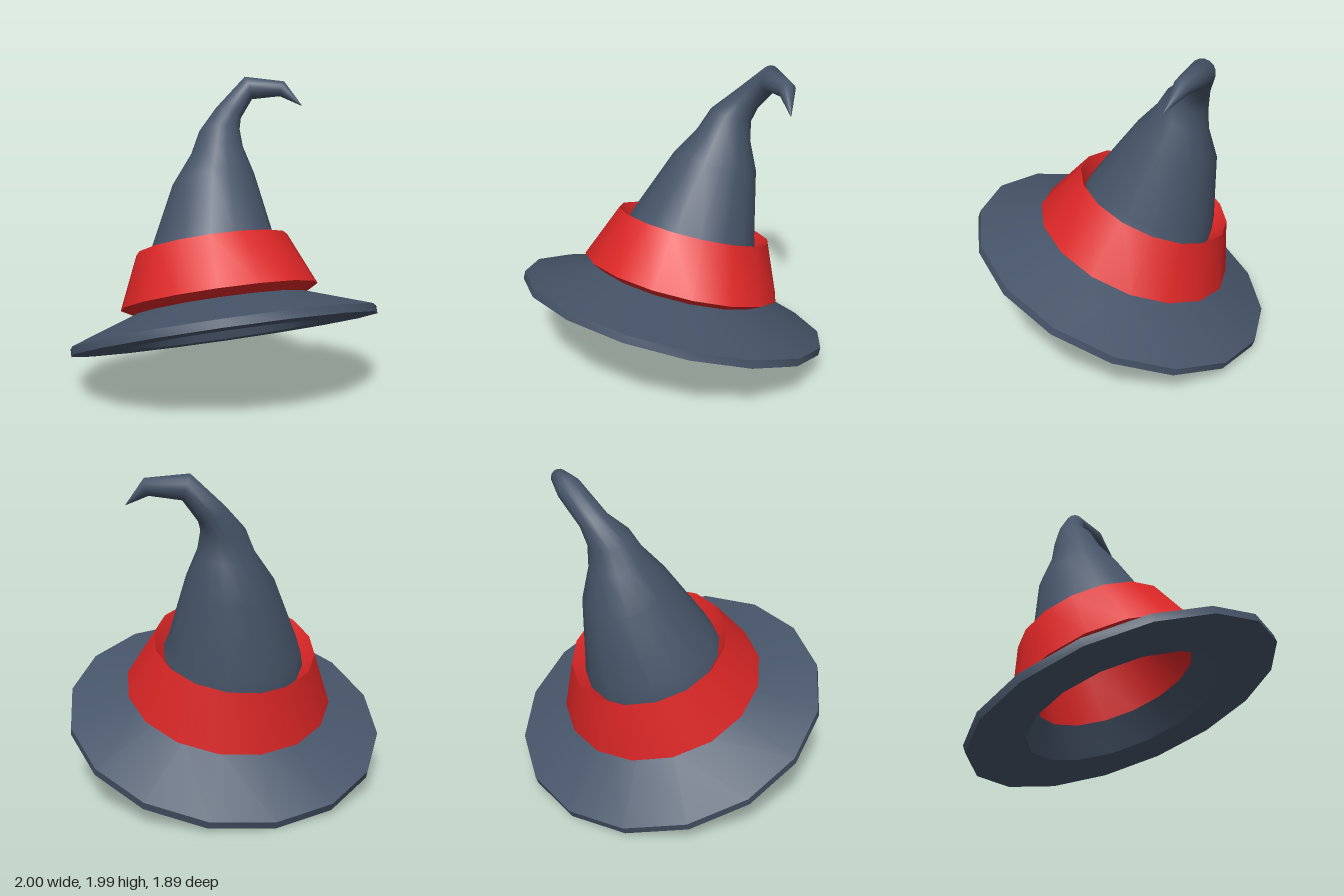
import * as THREE from 'three';
import { toCreasedNormals } from 'three/addons/utils/BufferGeometryUtils.js';

const SIDES = 16;
const TILT = 0.365; // the whole hat leans back

const slate = new THREE.MeshStandardMaterial({ color: 0x475569, side: THREE.DoubleSide });
slate.name = 'slate cloth';
const red = new THREE.MeshStandardMaterial({ color: 0xdc2626, side: THREE.DoubleSide });
red.name = 'red band';

// Ring of revolution from a closed [radius, height] profile
function ring(name, profile, material) {
  const points = profile.map(([r, y]) => new THREE.Vector2(r, y));
  const geometry = toCreasedNormals(new THREE.LatheGeometry(points, SIDES), 0.6);
  const mesh = new THREE.Mesh(geometry, material);
  mesh.name = name;
  return mesh;
}

// Skin through round sections: centre, radius, facing direction
function loft(sections) {
  const positions = [], index = [];
  const up = new THREE.Vector3(0, 1, 0);
  sections.forEach(([centre, radius, facing], row) => {
    const turn = new THREE.Quaternion().setFromUnitVectors(up, new THREE.Vector3(...facing).normalize());
    for (let i = 0; i < SIDES; i++) {
      const a = (i / SIDES) * Math.PI * 2;
      const p = new THREE.Vector3(Math.sin(a) * radius, 0, Math.cos(a) * radius).applyQuaternion(turn);
      positions.push(p.x + centre[0], p.y + centre[1], p.z + centre[2]);
      if (row > 0) {
        const j = (i + 1) % SIDES, lo = (row - 1) * SIDES, hi = row * SIDES;
        index.push(lo + i, lo + j, hi + i, hi + j, hi + i, lo + j);
      }
    }
  });
  const geometry = new THREE.BufferGeometry();
  geometry.setAttribute('position', new THREE.Float32BufferAttribute(positions, 3));
  geometry.setIndex(index);
  geometry.computeVertexNormals();
  return geometry;
}

export function createModel() {
  const hat = new THREE.Group();
  hat.name = 'pointedHat';

  // Brim and band share the tilted base
  const base = new THREE.Group();
  base.name = 'tiltedBase';
  base.position.set(0, 0.3625, 0.009);
  base.rotation.x = -TILT;
  base.add(ring('brim', [[0.635, 0], [1, 0], [1, 0.05], [0.56, 0.205], [0.51, 0.185], [0.635, 0]], slate));
  base.add(ring('band', [[0.51, 0.185], [0.555, 0.2], [0.647, 0.25], [0.5, 0.595], [0.435, 0.505], [0.51, 0.185]], red));
  hat.add(base);

  // Crooked cone, bending to the side and then forward at the tip
  const lean = [0, Math.cos(TILT), -Math.sin(TILT)];
  const cone = new THREE.Mesh(loft([
    [[0, 0.83, -0.17], 0.437, lean],
    [[0, 0.923, -0.205], 0.41, lean],
    [[0.065, 1.335, -0.33], 0.272, lean],
    [[0.105, 1.52, -0.362], 0.173, lean],
    [[0.134, 1.65, -0.39], 0.134, [0.08, 0.94, -0.33]],
    [[0.216, 1.758, -0.43], 0.09, [0.47, 0.87, -0.15]],
    [[0.376, 1.92, -0.46], 0.079, [0.91, 0.3, 0.27]],
    [[0.574, 1.916, -0.35], 0.052, [0.8, -0.26, 0.54]],
    [[0.675, 1.807, -0.254], 0.002, [0.65, -0.6, 0.5]],
  ]), slate);
  cone.name = 'crookedCone';
  hat.add(cone);

  return hat;
}
